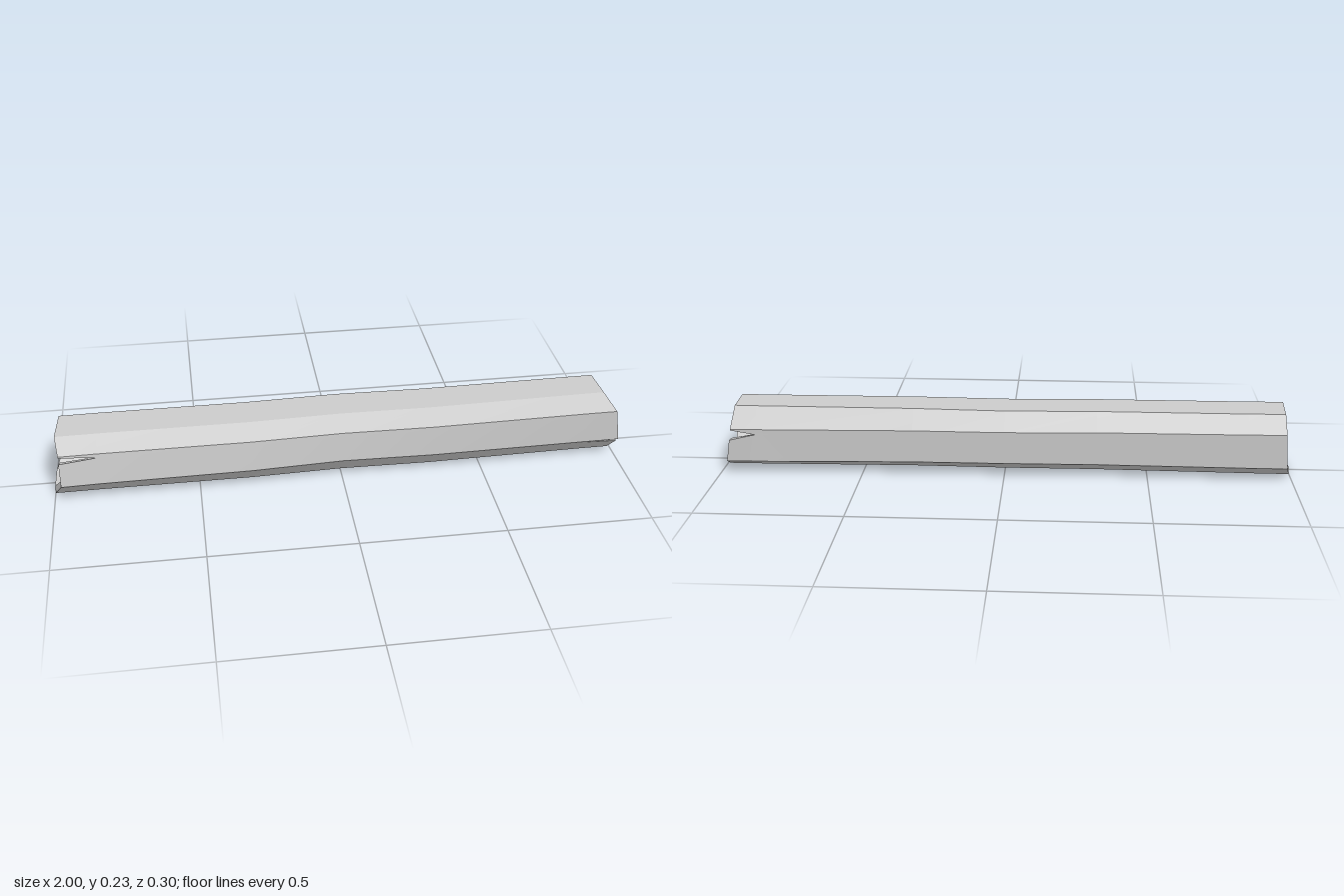
import * as THREE from 'three';
import { toCreasedNormals } from 'three/addons/utils/BufferGeometryUtils.js';

// Cross-sections along x: eight [z, y] corners each, running
// front-upper, top-front, top-back, back-upper, back-lower, bottom-back, bottom-front, front-lower
const LEFT_END = [[0.133, 0.19], [0.067, 0.23], [-0.07, 0.23], [-0.13, 0.175], [-0.125, 0.05], [-0.045, 0], [0.065, 0], [0.148, 0.077]];
const MIDDLE = [[0.125, 0.193], [0.052, 0.229], [-0.084, 0.229], [-0.137, 0.168], [-0.132, 0.052], [-0.045, 0.003], [0.055, 0.002], [0.133, 0.085]];
const RIGHT_END = [[0.13, 0.2], [0.045, 0.232], [-0.082, 0.232], [-0.148, 0.165], [-0.143, 0.045], [-0.045, 0], [0.05, 0.003], [0.125, 0.08]];

// Ragged end positions of each corner
const LEFT_X = [-0.97, -0.98, -0.97, -0.97, -0.98, -1, -1, -0.97];
const RIGHT_X = [0.98, 0.955, 0.95, 0.955, 0.975, 0.99, 0.99, 1];

const mix = THREE.MathUtils.lerp;
const mixRing = (a, b, t, dz = 0) => a.map((p, i) => [mix(p[0], b[i][0], t) + dz, mix(p[1], b[i][1], t)]);
const level = (x) => Array(8).fill(x);

const STATIONS = [
  { x: LEFT_X, ring: LEFT_END },
  { x: level(-0.84), ring: mixRing(LEFT_END, MIDDLE, 0.15) },
  { x: level(-0.32), ring: mixRing(LEFT_END, MIDDLE, 0.6, 0.006) },
  { x: level(0), ring: MIDDLE },
  { x: level(0.32), ring: mixRing(MIDDLE, RIGHT_END, 0.3, 0.007) },
  { x: level(0.87), ring: mixRing(MIDDLE, RIGHT_END, 0.88) },
  { x: RIGHT_X, ring: RIGHT_END },
];
const LAST = STATIONS.length - 1;
const BORE = 0.81;

// Splits: perimeter position (corner index + fraction) of both lips and of the closed tip
const SPLITS = [
  { end: 0, a: 7.75, b: 7.96, tip: 7.87 },
  { end: LAST, a: 3.03, b: 3.34, tip: 3.16 },
  { end: LAST, a: 6.8, b: 6.99, tip: 6.93 },
];
const lip = (split, side) => (s) => (s === split.end ? split[side] : split.tip);
const corner = (i) => () => i;

// Wall strips between one split and the next
const STRIPS = [
  { from: SPLITS[2], to: SPLITS[0], corners: [7] },
  { from: SPLITS[0], to: SPLITS[1], corners: [0, 1, 2, 3] },
  { from: SPLITS[1], to: SPLITS[2], corners: [4, 5, 6] },
];

// Point on the wall at station s and perimeter position u
function wallPoint(s, u, inner) {
  const { x, ring } = STATIONS[s];
  const i = Math.floor(u) % 8, j = (i + 1) % 8, t = u - Math.floor(u);
  const z = mix(ring[i][0], ring[j][0], t), y = mix(ring[i][1], ring[j][1], t);
  const k = inner ? BORE : 1;
  return [mix(x[i], x[j], t), 0.115 + (y - 0.115) * k, z * k];
}

function logGeometry() {
  const pos = [];
  const quad = (a, b, c, d) => pos.push(...a, ...b, ...c, ...a, ...c, ...d);

  for (const { from, to, corners } of STRIPS) {
    const edge = [lip(from, 'b'), ...corners.map(corner), lip(to, 'a')];
    const out = (s, i) => wallPoint(s, edge[i](s), false);
    const inn = (s, i) => wallPoint(s, edge[i](s), true);
    const n = edge.length - 1;

    for (let s = 0; s < LAST; s++) {
      // bark and hollow
      for (let i = 0; i < n; i++) {
        quad(out(s, i), out(s + 1, i), out(s + 1, i + 1), out(s, i + 1));
        quad(inn(s, i), inn(s, i + 1), inn(s + 1, i + 1), inn(s + 1, i));
      }
      // cut faces of the open splits
      const open = (split) => split.end === s || split.end === s + 1;
      if (open(from) && (from.end === 0 ? s === 0 : s === LAST - 1))
        quad(out(s, 0), inn(s, 0), inn(s + 1, 0), out(s + 1, 0));
      if (open(to) && (to.end === 0 ? s === 0 : s === LAST - 1))
        quad(out(s, n), out(s + 1, n), inn(s + 1, n), inn(s, n));
    }
    // end rims
    for (let i = 0; i < n; i++) {
      quad(out(0, i), out(0, i + 1), inn(0, i + 1), inn(0, i));
      quad(out(LAST, i), inn(LAST, i), inn(LAST, i + 1), out(LAST, i + 1));
    }
  }

  const geo = new THREE.BufferGeometry();
  geo.setAttribute('position', new THREE.Float32BufferAttribute(pos, 3));
  return toCreasedNormals(geo, 0.35);
}

export function createModel() {
  const group = new THREE.Group();
  group.name = 'hollowLog';
  const log = new THREE.Mesh(logGeometry(), new THREE.MeshStandardMaterial({ color: 0xcccccc }));
  log.name = 'logShell';
  group.add(log);
  return group;
}
